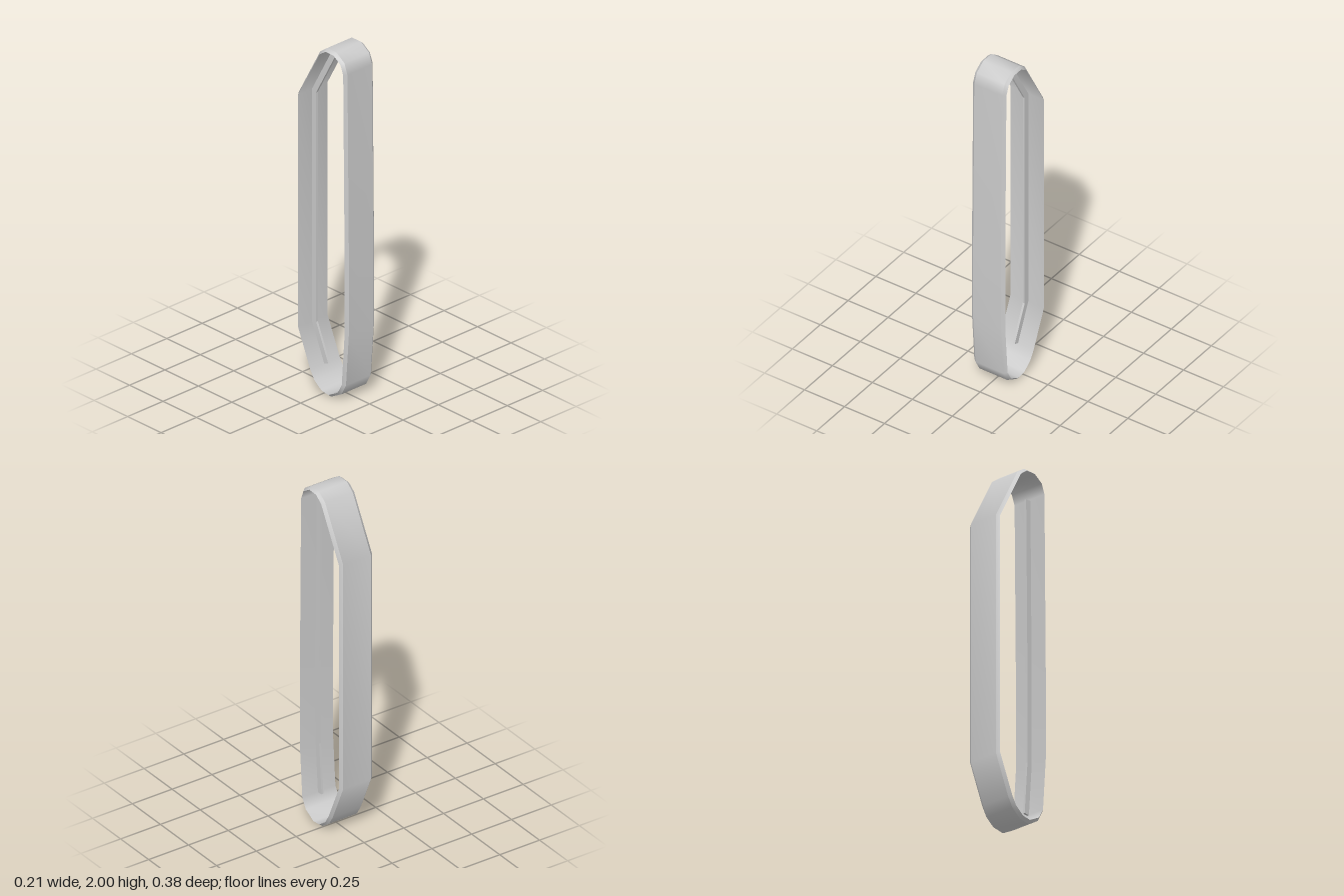
import * as THREE from 'three';

const material = new THREE.MeshStandardMaterial({ color: 0xcccccc, side: THREE.DoubleSide });

// Side outline of the track as [z, y], running over the top to the back and round
const outline = [
  [0.187, 0.4], [0.187, 0.9], [0.177, 1.9], [0.154, 1.96], [0.095, 2], [0.026, 2], [-0.026, 1.962],
  [-0.188, 1.665], [-0.188, 0.32], [-0.095, 0.105], [-0.063, 0.052],
  [-0.005, 0.008], [0.055, 0], [0.132, 0.042], [0.166, 0.105],
];

// Move a path inwards by d with mitred corners
function inset(path, d, closed) {
  const n = path.length;
  const normal = (i, j) => {
    const dz = path[j][0] - path[i][0], dy = path[j][1] - path[i][1];
    return new THREE.Vector2(dy, -dz).normalize();
  };
  return path.map(([z, y], i) => {
    const before = closed || i > 0 ? normal((i + n - 1) % n, i) : normal(0, 1);
    const after = closed || i < n - 1 ? normal(i, (i + 1) % n) : before;
    const mitre = before.clone().add(after);
    mitre.multiplyScalar(2 * d / mitre.lengthSq());
    return [z - mitre.x, y - mitre.y];
  });
}

// Closed strip between two loops at different x, smooth along its length
function strip(loopA, xA, loopB, xB) {
  const positions = [], index = [], n = loopA.length;
  for (let i = 0; i < n; i++) {
    positions.push(xA, loopA[i][1], loopA[i][0], xB, loopB[i][1], loopB[i][0]);
    const a = 2 * i, c = 2 * ((i + 1) % n);
    index.push(a, a + 1, c, a + 1, c + 1, c);
  }
  const geometry = new THREE.BufferGeometry();
  geometry.setAttribute('position', new THREE.Float32BufferAttribute(positions, 3));
  geometry.setIndex(index);
  geometry.computeVertexNormals();
  return geometry;
}

// Thin guide rib following part of the inner wall
function rib(path, name) {
  const thickness = 0.012;
  const points = [...inset(path, 0.01, false), ...inset(path, 0.046, false).reverse()];
  const shape = new THREE.Shape(points.map(([z, y]) => new THREE.Vector2(z, y)));
  const geometry = new THREE.ExtrudeGeometry(shape, { depth: thickness, bevelEnabled: false });
  geometry.translate(0, 0, -thickness / 2).rotateY(-Math.PI / 2);
  const mesh = new THREE.Mesh(geometry, material);
  mesh.name = name;
  return mesh;
}

export function createModel() {
  const model = new THREE.Group();
  model.name = 'trackBelt';

  // Belt: outer tread, two bevelled edges and the inner wall
  const inner = inset(outline, 0.014, true);
  const tread = 0.087, edge = 0.104;
  const belt = new THREE.Group();
  belt.name = 'belt';
  const parts = [
    ['outerTread', outline, -tread, outline, tread],
    ['leftBevel', outline, tread, inner, edge],
    ['innerWall', inner, edge, inner, -edge],
    ['rightBevel', inner, -edge, outline, -tread],
  ];
  for (const [name, ...loops] of parts) {
    const mesh = new THREE.Mesh(strip(...loops), material);
    mesh.name = name;
    belt.add(mesh);
  }
  model.add(belt);

  // Guide ribs inside the front and back runs
  model.add(rib([outline[14], outline[0], outline[1], [0.177, 1.89]], 'frontGuideRib'));
  model.add(rib(outline.slice(6, 10), 'backGuideRib'));
  return model;
}
